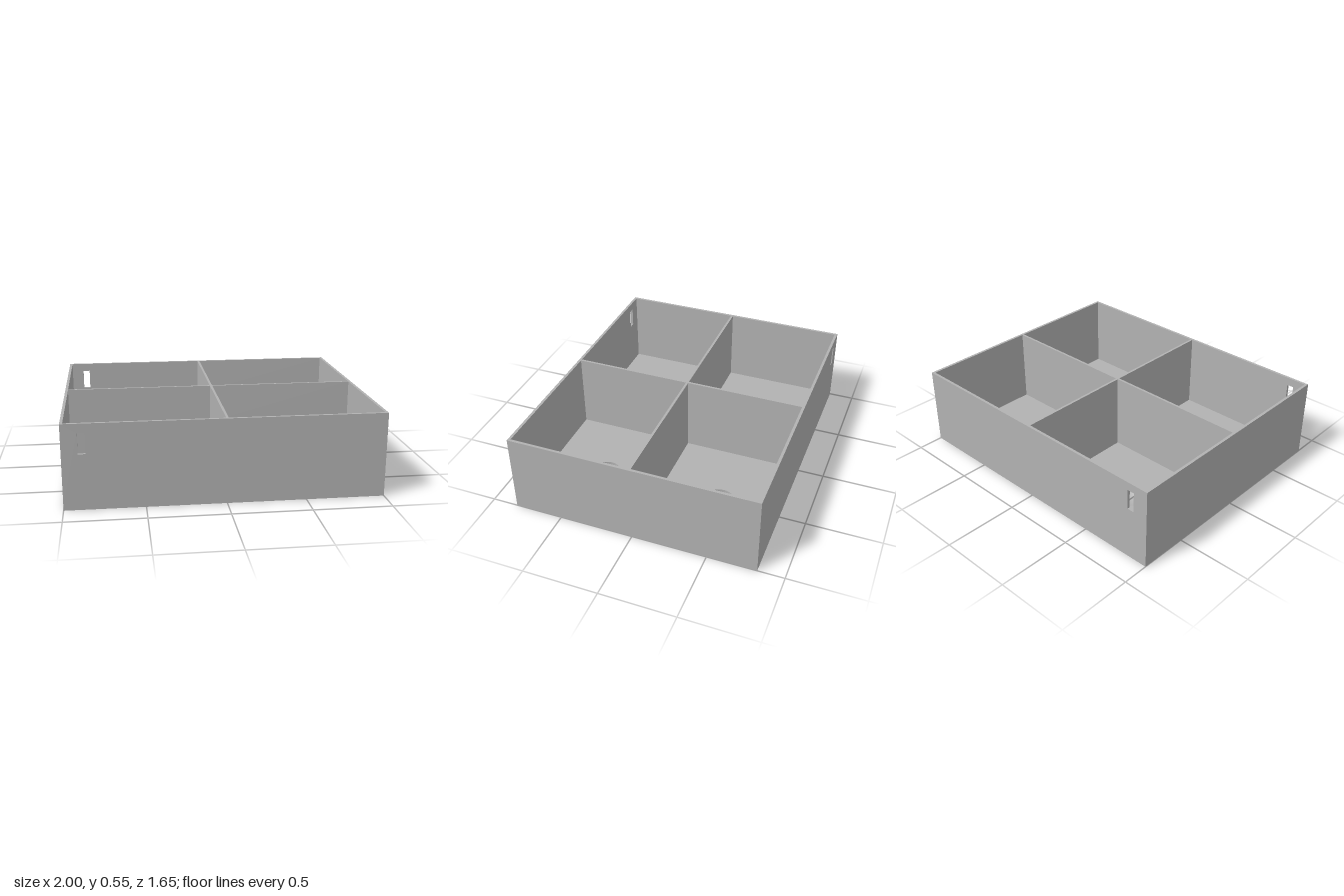
import * as THREE from 'three';

const W = 2, D = 1.652, H = 0.545; // outer size
const T = 0.018;                   // outer wall
const F = 0.022;                   // floor
const R = 0.016;                   // divider

export function createModel() {
  const group = new THREE.Group();
  const grey = new THREE.MeshStandardMaterial({ color: 0xb2b2b2 });
  grey.name = 'grey';

  const add = (name, geometry, x = 0, y = 0, z = 0) => {
    const mesh = new THREE.Mesh(geometry, grey);
    mesh.name = name;
    mesh.position.set(x, y, z);
    group.add(mesh);
    return mesh;
  };
  const rect = (Type, x0, y0, x1, y1) => new Type([
    new THREE.Vector2(x0, y0), new THREE.Vector2(x1, y0),
    new THREE.Vector2(x1, y1), new THREE.Vector2(x0, y1),
  ]);
  const plate = (shape, depth) => new THREE.ExtrudeGeometry(shape, {
    depth, bevelEnabled: false, curveSegments: 48,
  });

  // Floor with one round hole per compartment
  const floor = rect(THREE.Shape, -W / 2, -D / 2, W / 2, D / 2);
  for (const x of [-0.5, 0.5]) {
    for (const z of [-0.413, 0.413]) {
      floor.holes.push(new THREE.Path().absarc(x, z, 0.1, 0, Math.PI * 2, true));
    }
  }
  add('floor', plate(floor, F).rotateX(-Math.PI / 2));

  // Long walls, each with an upright slot near the same end
  const wall = rect(THREE.Shape, -W / 2, F, W / 2, H);
  wall.holes.push(rect(THREE.Path, -0.9, 0.355, -0.853, 0.49));
  const wallGeometry = plate(wall, T);
  add('frontWall', wallGeometry, 0, 0, D / 2 - T);
  add('backWall', wallGeometry, 0, 0, -D / 2);

  // Short end walls between the long walls
  const h = H - F, midY = F + h / 2;
  const endGeometry = new THREE.BoxGeometry(T, h, D - 2 * T);
  add('leftWall', endGeometry, W / 2 - T / 2, midY, 0);
  add('rightWall', endGeometry, -W / 2 + T / 2, midY, 0);

  // Crossed dividers: one long, two half-length
  add('longDivider', new THREE.BoxGeometry(W - 2 * T, h, R), 0, midY, 0);
  const half = (D - 2 * T - R) / 2;
  const halfGeometry = new THREE.BoxGeometry(R, h, half);
  add('frontDivider', halfGeometry, 0, midY, (R + half) / 2);
  add('backDivider', halfGeometry, 0, midY, -(R + half) / 2);

  return group;
}
